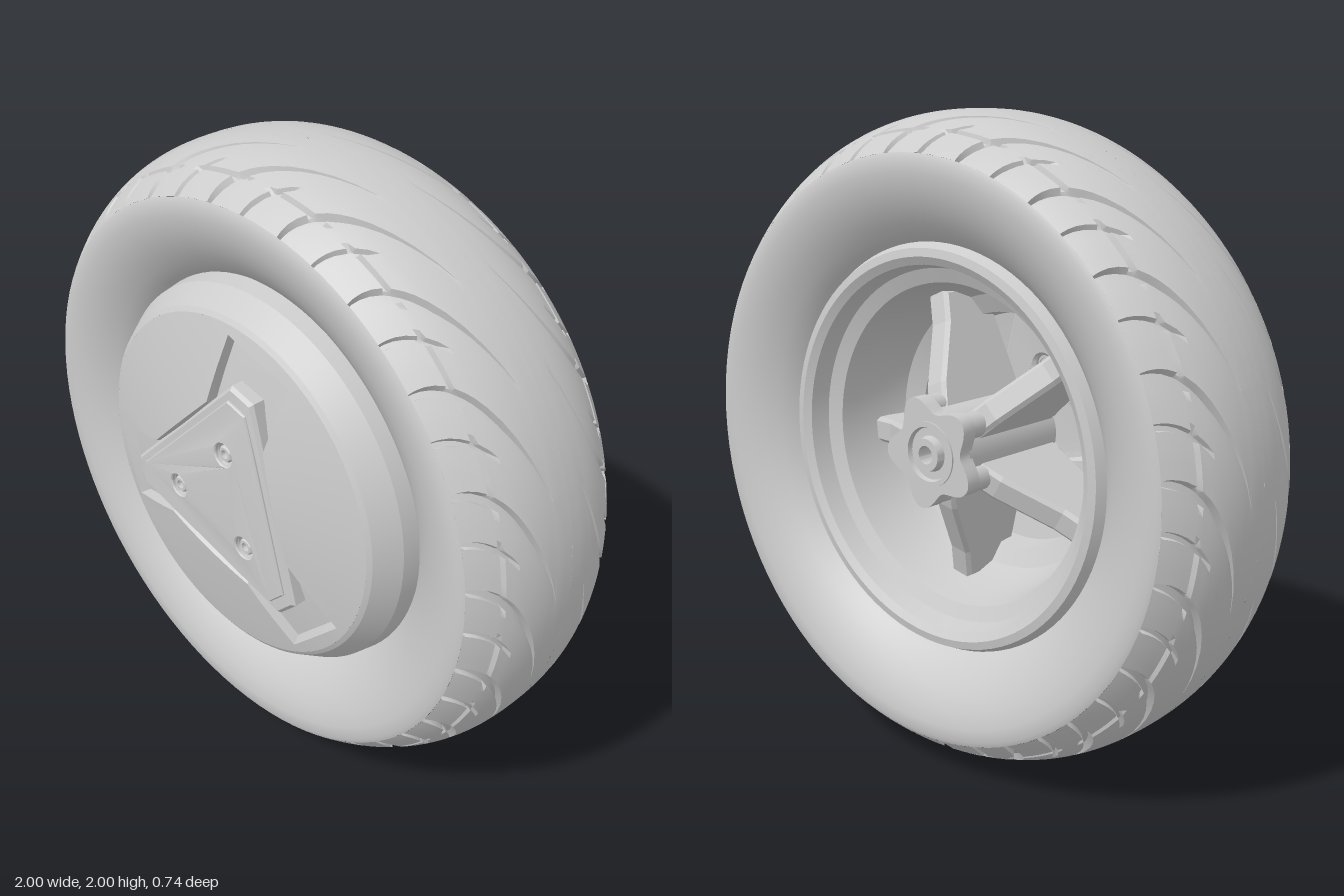
import * as THREE from 'three';
import { toCreasedNormals } from 'three/addons/utils/BufferGeometryUtils.js';

const grey = new THREE.MeshStandardMaterial({ color: 0xcccccc });
const thin = new THREE.MeshStandardMaterial({ color: 0xcccccc, side: THREE.DoubleSide });
const TAU = Math.PI * 2, ARM = THREE.MathUtils.degToRad(75);

function add(parent, name, geo, mat = grey) {
  const mesh = new THREE.Mesh(geo, mat);
  mesh.name = name;
  parent.add(mesh);
  return mesh;
}

// Surface of revolution about z from [radius, z] pairs
function turned(points, crease = 0.5, segments = 96) {
  const geo = new THREE.LatheGeometry(points.map(p => new THREE.Vector2(p[0], p[1])), segments);
  return toCreasedNormals(geo.rotateX(Math.PI / 2), crease);
}

// Skin of a grid of vertices, closed along the column direction
function closedGrid(cols, rows, vertex, crease) {
  const pos = [], index = [];
  for (let j = 0; j < cols; j++) for (let k = 0; k < rows; k++) pos.push(...vertex(j, k));
  for (let j = 0; j < cols; j++) for (let k = 0; k < rows - 1; k++) {
    const a = j * rows + k, b = ((j + 1) % cols) * rows + k;
    index.push(a, b, b + 1, a, b + 1, a + 1);
  }
  const geo = new THREE.BufferGeometry();
  geo.setAttribute('position', new THREE.Float32BufferAttribute(pos, 3));
  geo.setIndex(index);
  geo.computeVertexNormals();
  return toCreasedNormals(geo, crease);
}

// One half of the tread: grid columns follow the swept grooves
function treadHalf() {
  const pitches = 20, pitch = TAU / pitches, half = 0.305, tip = 0.06;
  // [place in the pitch, side of the groove, sunk, which groove]
  const groove = (f, id) => [[f, -1, 0, id], [f, -0.65, 1, id], [f, 0.65, 1, id], [f, 1, 0, id]];
  const cols = [...groove(0, 1), [0.2, 0, 0, 0], [0.3, 0, 0, 0], [0.4, 0, 0, 0],
    ...groove(0.52, 2), [0.63, 0, 0, 0], [0.74, 0, 0, 0], [0.84, 0, 0, 0]];
  const rows = [-0.245, -0.12, 0, 0.08, 0.16, 0.25, 0.34, 0.43, 0.5, 0.56, 0.64, 0.655, 0.685, 0.7, 0.78, 0.86, 0.93, 0.975, 1];
  return closedGrid(pitches * cols.length, rows.length, (j, k) => {
    const [f, edge, sunk, id] = cols[j % cols.length];
    const s = rows[k], t = Math.max(s, 0);
    const z = k === 0 ? 0 : tip + s * (half - tip);
    let width = 0, depth = 0;
    if (id === 1) {
      width = 0.003 + 0.02 * Math.sin(Math.PI * Math.min(1, t * 0.88));
      depth = sunk * 0.022 * Math.min(1, t * 5);
    } else if (id === 2) {
      width = t > 0.45 ? 0.012 : 0.004;
      depth = t > 0.5 ? sunk * 0.016 : 0;
    }
    if (f <= 0.52 && (k === 11 || k === 12)) depth = Math.max(depth, 0.014);
    if (k === rows.length - 1) depth = 0;
    const a = (Math.floor(j / cols.length) + f) * pitch + 0.42 * (1 - (1 - t) ** 2) + edge * width;
    const r = 1 - 0.115 * (z / half) ** 2.5 - depth;
    return [r * Math.cos(a), r * Math.sin(a), z];
  }, 0.45);
}

// Domed cover with a shallow three-armed pocket
function coverDome() {
  const corners = [];
  for (let i = 0; i < 3; i++)
    for (const [r, d] of [[0.304, -24], [0.527, -14], [0.527, 14], [0.304, 24]])
      corners.push([r, ARM + i * TAU / 3 + THREE.MathUtils.degToRad(d)]);
  const steps = [3, 7, 3, 18], edge = [];
  corners.forEach(([r1, t1], i) => {
    let [r2, t2] = corners[(i + 1) % 12];
    if (t2 < t1) t2 += TAU;
    for (let s = 0; s < steps[i % 4]; s++) {
      const t = t1 + (t2 - t1) * s / steps[i % 4];
      edge.push([r1 * r2 * Math.sin(t2 - t1) / (r1 * Math.sin(t - t1) + r2 * Math.sin(t2 - t)), t]);
    }
  });
  const height = r => 0.335 + 0.07 * (1 - (r / 0.555) ** 2);
  return closedGrid(edge.length, 7, (j, k) => {
    const [p, t] = edge[j];
    const r = [0.555, 0.555 * 0.6 + p * 0.4, p, p - 0.02, p * 0.7, p * 0.35, 0.001][k];
    return [r * Math.cos(t), r * Math.sin(t), height(r) - (k > 2 ? 0.032 : 0)];
  }, 0.3);
}

// Triangle with cut corners, pointing along the pocket arms
function cutTriangle(reach, half) {
  const pts = [];
  for (let i = 0; i < 3; i++) for (const side of [-1, 1]) {
    const a = ARM + i * TAU / 3;
    pts.push(new THREE.Vector2(reach * Math.cos(a) - side * half * Math.sin(a),
      reach * Math.sin(a) + side * half * Math.cos(a)));
  }
  return new THREE.Shape(pts);
}

function plate(shape, z0, depth, bevel) {
  for (let i = 0; i < 3; i++) {
    const a = ARM + i * TAU / 3;
    shape.holes.push(new THREE.Path().absarc(0.176 * Math.cos(a), 0.176 * Math.sin(a), 0.036, 0, TAU, true));
  }
  const geo = new THREE.ExtrudeGeometry(shape, { depth, bevelThickness: bevel, bevelSize: bevel, bevelOffset: -bevel, bevelSegments: 1, curveSegments: 16 });
  geo.translate(0, 0, z0);
  const p = geo.attributes.position;
  for (let i = 0; i < p.count; i++) p.setZ(i, p.getZ(i) - 0.14 * (p.getX(i) ** 2 + p.getY(i) ** 2));
  return toCreasedNormals(geo, 0.35);
}

export function createModel() {
  const model = new THREE.Group();
  model.name = 'wheel';
  const wheel = new THREE.Group();
  wheel.name = 'wheelAssembly';
  wheel.position.set(0, 1, -0.05);
  wheel.rotation.y = 0.017;
  model.add(wheel);

  // Tyre
  const tread = treadHalf();
  add(wheel, 'frontTread', tread);
  add(wheel, 'backTread', tread.clone().rotateX(Math.PI));
  const wall = [[0.885, 0.305], [0.87, 0.312], [0.83, 0.312], [0.78, 0.3], [0.73, 0.278], [0.68, 0.245], [0.64, 0.21], [0.62, 0.18]];
  add(wheel, 'frontSidewall', turned(wall), thin);
  add(wheel, 'backSidewall', turned(wall.map(([r, z]) => [r, -z]).reverse()), thin);

  // Rim barrel, open to the back
  add(wheel, 'rim', turned([[0.37, 0.2], [0.38, 0.13], [0.44, 0.1], [0.47, 0.03], [0.49, -0.08], [0.5, -0.13],
    [0.545, -0.15], [0.56, -0.21], [0.585, -0.225], [0.61, -0.22], [0.63, -0.18]]), thin);

  // Cover on the front
  add(wheel, 'coverRim', turned([[0.63, 0.18], [0.618, 0.25], [0.57, 0.325], [0.555, 0.335]], 0.35), thin);
  add(wheel, 'coverDome', coverDome(), thin);
  add(wheel, 'trianglePlate', plate(cutTriangle(0.4, 0.046), 0.36, 0.038, 0.01));
  add(wheel, 'triangleInset', plate(cutTriangle(0.355, 0.038), 0.4, 0.009, 0.004));
  for (let i = 0; i < 3; i++) {
    const a = ARM + i * TAU / 3;
    const bolt = add(wheel, 'coverBolt', turned([[0.027, 0.36], [0.027, 0.396], [0.022, 0.402], [0.014, 0.402], [0.012, 0.385], [0, 0.385]], 0.5, 20), thin);
    bolt.position.set(0.176 * Math.cos(a), 0.176 * Math.sin(a), 0);
  }

  // Spokes, tapering from the hub to the rim
  const side = new THREE.Shape([[0.08, -0.17], [0.2, -0.13], [0.38, -0.03], [0.475, 0], [0.475, 0.12], [0.38, 0.19], [0.08, 0.2]]
    .map(p => new THREE.Vector2(...p)));
  const spoke = new THREE.ExtrudeGeometry(side, { depth: 0.06, bevelThickness: 0.012, bevelSize: 0.012, bevelOffset: -0.012, bevelSegments: 1 });
  spoke.translate(0, 0, -0.03).rotateX(Math.PI / 2);
  const boss = new THREE.CylinderGeometry(0.04, 0.04, 0.4, 16).rotateX(Math.PI / 2).translate(0.135, 0, 0);
  for (let i = 0; i < 5; i++) {
    const a = THREE.MathUtils.degToRad(66 + 72 * i);
    add(wheel, 'spoke', spoke).rotation.z = a;
    add(wheel, 'hubBoss', boss).rotation.z = a;
  }

  // Hub with a lobed flange and bearing
  const lobes = [];
  for (let i = 0; i < 80; i++) {
    const t = i / 80 * TAU, r = 0.152 + 0.025 * Math.cos(5 * (t - THREE.MathUtils.degToRad(66)));
    lobes.push(new THREE.Vector2(r * Math.cos(t), r * Math.sin(t)));
  }
  const flange = new THREE.Shape(lobes);
  flange.holes.push(new THREE.Path().absarc(0, 0, 0.1, 0, TAU, true));
  const flangeGeo = new THREE.ExtrudeGeometry(flange, { depth: 0.05, bevelEnabled: false, curveSegments: 32 });
  add(wheel, 'hubFlange', toCreasedNormals(flangeGeo.translate(0, 0, -0.24), 0.5));
  add(wheel, 'hubBarrel', new THREE.CylinderGeometry(0.13, 0.13, 0.4, 40, 1, true).rotateX(Math.PI / 2), thin);
  add(wheel, 'bearing', turned([[0.028, 0.2], [0.028, -0.255], [0.05, -0.255], [0.055, -0.23], [0.08, -0.23], [0.084, -0.245], [0.1, -0.245], [0.1, -0.19]], 0.4, 40), thin);
  return model;
}
